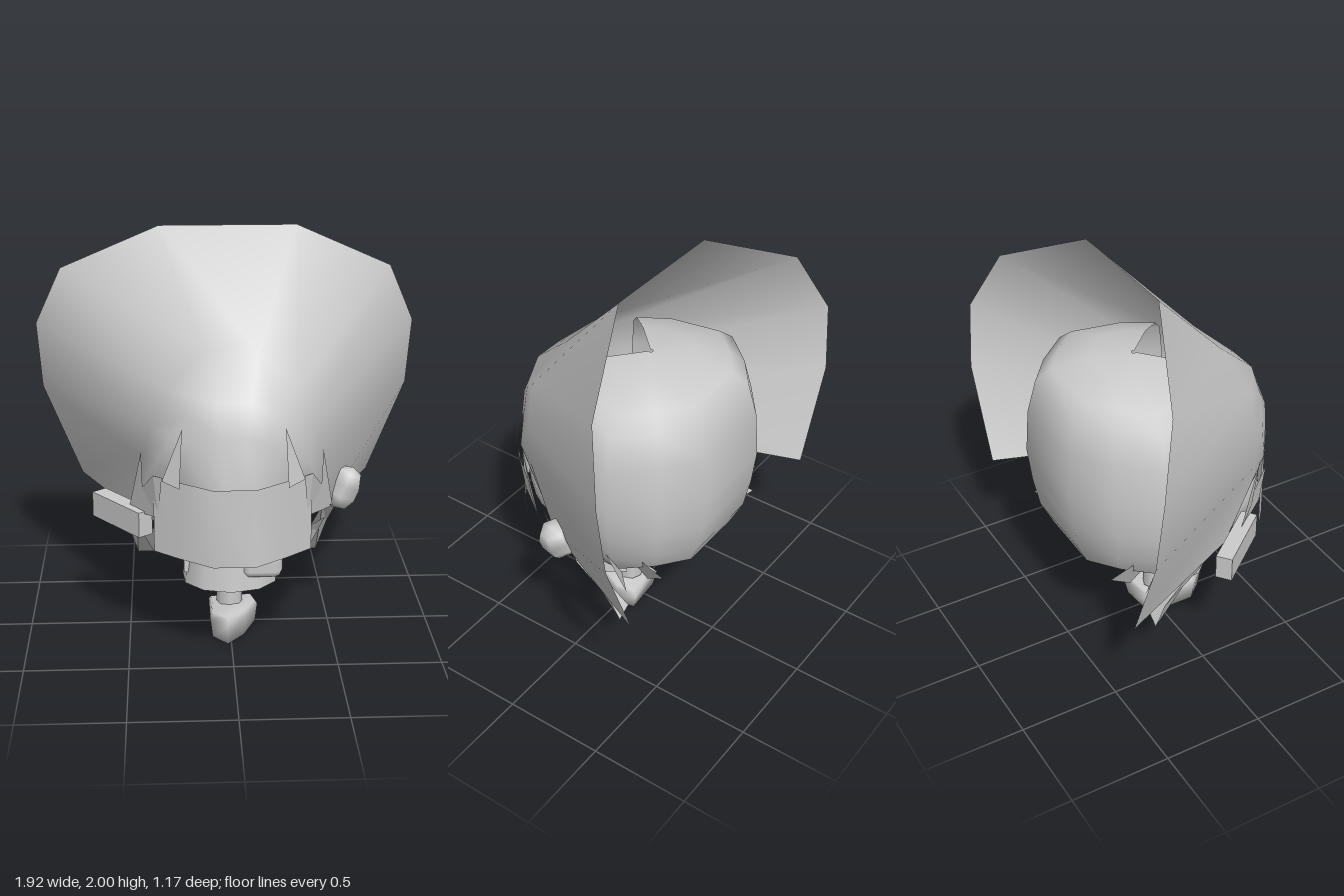
import * as THREE from 'three';
import { RoundedBoxGeometry } from 'three/addons/geometries/RoundedBoxGeometry.js';

const mat = new THREE.MeshStandardMaterial({ color: 0xcccccc, side: THREE.DoubleSide });
const flatMat = new THREE.MeshStandardMaterial({ color: 0xcccccc, side: THREE.DoubleSide, flatShading: true });

// Surface through rows of points; each row has the same count
function loft(rows, closed = false) {
  const n = rows[0].length, index = [];
  const span = closed ? n : n - 1;
  for (let r = 0; r < rows.length - 1; r++) {
    for (let i = 0; i < span; i++) {
      const a = r * n + i, b = r * n + (i + 1) % n;
      index.push(a, b, a + n, b, b + n, a + n);
    }
  }
  const g = new THREE.BufferGeometry();
  g.setAttribute('position', new THREE.Float32BufferAttribute(rows.flat(2), 3));
  g.setIndex(index);
  g.computeVertexNormals();
  return g;
}

// Patch fanned from its first corner
function patch(points) {
  const g = new THREE.BufferGeometry();
  g.setAttribute('position', new THREE.Float32BufferAttribute(points.flat(), 3));
  const index = [];
  for (let i = 1; i < points.length - 1; i++) index.push(0, i, i + 1);
  g.setIndex(index);
  g.computeVertexNormals();
  return g;
}

// Left half row completed with its mirror image
const mirrorRow = half => [...half, ...half.slice().reverse().map(([x, y, z]) => [-x, y, z])];

export function createModel() {
  const model = new THREE.Group();
  const add = (name, geometry, material = mat) => {
    const mesh = new THREE.Mesh(geometry, material);
    mesh.name = name;
    model.add(mesh);
    return mesh;
  };
  const addPair = (name, points) => {
    for (const s of [1, -1]) {
      add((s > 0 ? 'left' : 'right') + name, patch(points.map(([x, y, z]) => [s * x, y, z])), flatMat);
    }
  };

  // Wide bonnet: brim edge, waist, crown, and forehead line
  add('bonnet', loft([
    [[0.75, 0.62, -0.53], [0.94, 1.1, -0.53], [0.96, 1.44, -0.5], [0.82, 1.75, -0.38], [0.33, 2, -0.16]],
    [[0.47, 0.66, 0.13], [0.42, 1.0, 0.31], [0.38, 1.17, 0.34], [0.31, 1.35, 0.36], [0.12, 1.51, 0.3]],
    [[0.42, 0.8, 0.24], [0.36, 1.0, 0.41], [0.29, 1.14, 0.44], [0.2, 1.25, 0.48], [0.08, 1.32, 0.51]],
    [[0.35, 0.9, 0.38], [0.28, 1.0, 0.46], [0.22, 1.07, 0.51], [0.15, 1.14, 0.55], [0.06, 1.18, 0.57]],
    [[0.33, 0.92, 0.4], [0.24, 0.92, 0.48], [0.17, 0.93, 0.54], [0.09, 0.93, 0.59], [0.04, 0.93, 0.59]],
  ].map(mirrorRow)));

  // Folded fringe panel over the face
  const fringe = y => [[0.37, 0.39], [0.25, 0.49], [0.1, 0.6]].map(([x, z]) => [x, y, z]);
  add('fringe', loft([mirrorRow(fringe(0.94)), mirrorRow(fringe(0.56))]));

  // Rounded back hair, open at the front and underneath; each level: height, scale of the plan
  const plan = [[0.38, 0.28], [0.5, 0.08], [0.56, -0.25], [0.4, -0.43], [0.22, -0.57]];
  const levels = [[0.58, 0.78], [0.7, 0.9], [0.85, 0.96], [1.03, 1], [1.25, 0.97], [1.41, 0.89], [1.48, 0.74], [1.54, 0.4], [1.55, 0.02]];
  add('backHair', loft(levels.map(([y, k]) =>
    mirrorRow(plan.map(([x, z]) => [x * k, y, -0.1 + (z + 0.1) * k])))));

  // Face and jaw, a shell open at the back
  const face = add('face', new THREE.SphereGeometry(1, 14, 10, 0, Math.PI));
  face.scale.set(0.36, 0.3, 0.37);
  face.position.set(0, 0.72, 0.19);

  // Side locks and their pointed tips
  addPair('TempleLock', [[0.235, 1.2, 0.5], [0.25, 0.92, 0.525], [0.33, 0.94, 0.47]]);
  addPair('CheekLock', [[0.35, 0.73, 0.4], [0.33, 0.95, 0.45], [0.37, 0.95, 0.42], [0.425, 0.85, 0.31], [0.48, 0.7, 0.21]]);
  addPair('SideSpike', [[0.425, 1.04, 0.345], [0.42, 0.78, 0.31], [0.49, 0.7, 0.2]]);
  addPair('JawLock', [[0.34, 0.62, 0.3], [0.46, 0.62, 0.15], [0.43, 0.54, 0.12], [0.37, 0.46, 0.18]]);
  addPair('OuterTip', [[0.53, 0.75, -0.22], [0.57, 0.62, -0.37], [0.44, 0.58, -0.25]]);
  addPair('NapeTip', [[0.36, 0.68, -0.14], [0.4, 0.62, -0.46], [0.3, 0.46, -0.3]]);
  addPair('InnerNapeTip', [[0.08, 0.62, -0.42], [0.32, 0.62, -0.38], [0.2, 0.53, -0.28]]);

  // Hanging ribbons
  addPair('Ribbon', [[0.46, 0.64, 0.04], [0.56, 0.64, -0.07], [0.51, 0.44, -0.23], [0.46, 0.28, -0.25], [0.36, 0.29, -0.23], [0.41, 0.44, -0.12]]);

  // Side ornaments: a bud on the left, a plate on the right
  const bud = add('leftBud', new THREE.CapsuleGeometry(0.085, 0.06, 2, 6));
  bud.position.set(0.56, 0.73, 0.04);
  bud.rotation.set(0.15, 0.3, -0.45);
  const plate = add('rightPlate', new THREE.BoxGeometry(0.08, 0.125, 0.37));
  plate.position.set(-0.525, 0.665, 0.16);
  plate.rotation.y = 0.67;

  // Neck, open collar band and the knot beside it
  const neck = add('neck', new THREE.CylinderGeometry(0.057, 0.065, 0.46, 8));
  neck.position.set(0, 0.35, 0.015);
  const band = add('collarBand', new THREE.CylinderGeometry(0.225, 0.24, 0.13, 8, 1, true, -2.4, 4.8));
  band.scale.z = 0.84;
  band.position.set(0, 0.345, 0.07);
  const knot = add('collarKnot', new RoundedBoxGeometry(0.2, 0.13, 0.38, 1, 0.04));
  knot.position.set(0.15, 0.41, 0.07);
  knot.rotation.x = 0.04;
  const fold = add('collarFold', new THREE.BoxGeometry(0.06, 0.1, 0.16));
  fold.position.set(-0.2, 0.39, 0.07);

  // Faceted foot with a pointed front
  const outline = [[-0.1, -0.08], [0.12, -0.1], [0.14, 0.0], [0.07, 0.17], [-0.02, 0.28], [-0.1, 0.19]];
  const ring = (y, k, slope = 0) => outline.map(([x, z]) => [0.02 + (x - 0.02) * k, y + slope * z, 0.08 + (z - 0.08) * k]);
  add('foot', loft([ring(0, 0.01), ring(0, 0.92), ring(0.09, 1.02, 0.05), ring(0.115, 0.9, 0.08), ring(0.125, 0.01)], true));

  return model;
}
